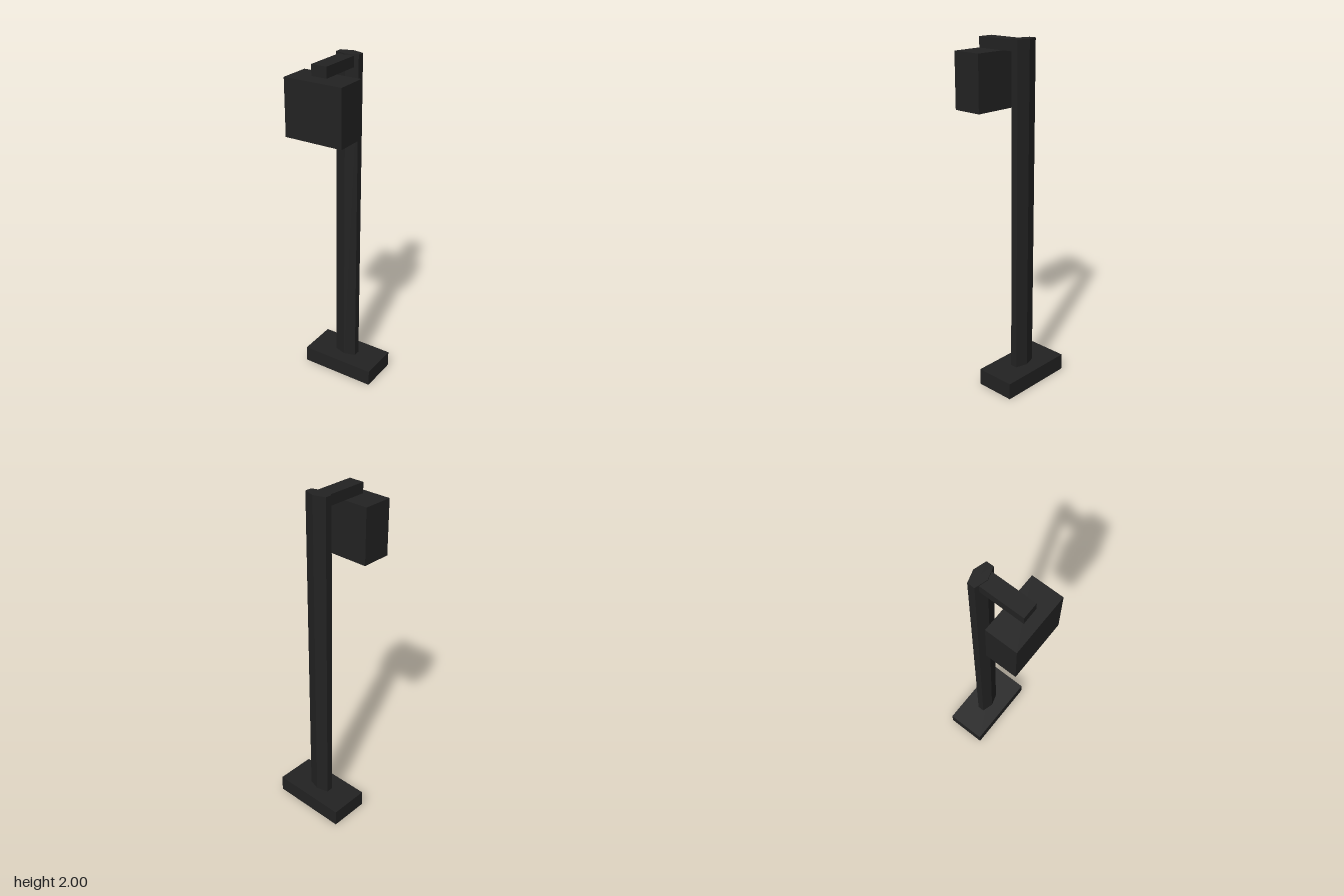
import * as THREE from 'three';

export function createModel() {
  const model = new THREE.Group();
  model.name = 'postLamp';
  const darkMetal = new THREE.MeshStandardMaterial({ color: 0x222222, name: 'darkMetal', flatShading: true });

  // Adds a named box given its extents along each axis
  function box(name, halfWidth, [y0, y1], [z0, z1]) {
    const mesh = new THREE.Mesh(new THREE.BoxGeometry(halfWidth * 2, y1 - y0, z1 - z0), darkMetal);
    mesh.position.set(0, (y0 + y1) / 2, (z0 + z1) / 2);
    mesh.name = name;
    model.add(mesh);
  }

  box('base', 0.231, [0, 0.098], [-0.232, 0.007]);

  // Flattened six-sided post
  const post = new THREE.Mesh(new THREE.CylinderGeometry(0.08, 0.08, 1.95, 6).scale(1, 1, 0.52), darkMetal);
  post.position.set(0, 1.025, -0.112);
  post.name = 'post';
  model.add(post);

  // Arm reaching forward, with the head just below it
  box('arm', 0.046, [1.933, 1.993], [-0.11, 0.17]);
  box('head', 0.173, [1.604, 1.923], [0.05, 0.23]);

  return model;
}
